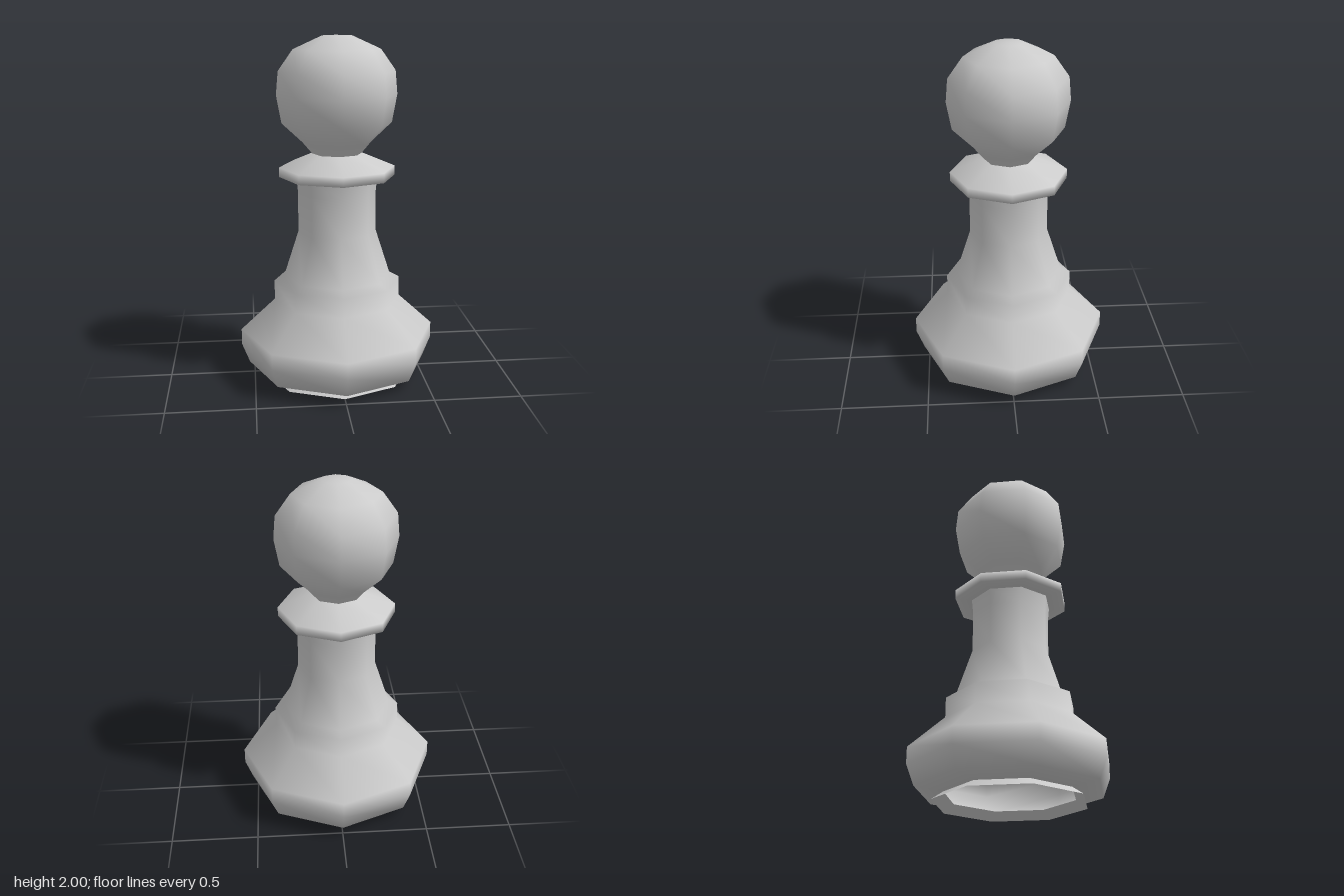
import * as THREE from 'three';

const SIDES = 8;

export function createModel() {
  const group = new THREE.Group();
  group.name = 'chessPawn';
  // the shell is hollow and open underneath
  const material = new THREE.MeshStandardMaterial({ color: 0xcccccc, side: THREE.DoubleSide });

  // turned part from [radius, height] pairs, bottom to top
  function turn(name, profile) {
    const points = profile.map(([r, y]) => new THREE.Vector2(r, y));
    const mesh = new THREE.Mesh(new THREE.LatheGeometry(points, SIDES), material);
    mesh.name = name;
    group.add(mesh);
  }

  // flared rim under the base
  turn('foot', [[0.435, 0], [0.37, 0.045]]);

  // bulging base, step and tapering stem
  turn('body', [
    [0.37, 0.045], [0.53, 0.065], [0.575, 0.18], [0.575, 0.275],
    [0.373, 0.46], [0.373, 0.575], [0.315, 0.605],
    [0.228, 0.875], [0.228, 1.11], [0.237, 1.2],
  ]);

  // collar with a sloping top
  turn('collar', [[0.237, 1.2], [0.337, 1.2], [0.337, 1.255], [0.145, 1.335]]);

  // round head on a narrow neck
  turn('head', [
    [0.145, 1.335], [0.2, 1.4], [0.318, 1.51], [0.347, 1.67],
    [0.335, 1.805], [0.25, 1.925], [0.085, 2], [0, 2],
  ]);

  return group;
}
